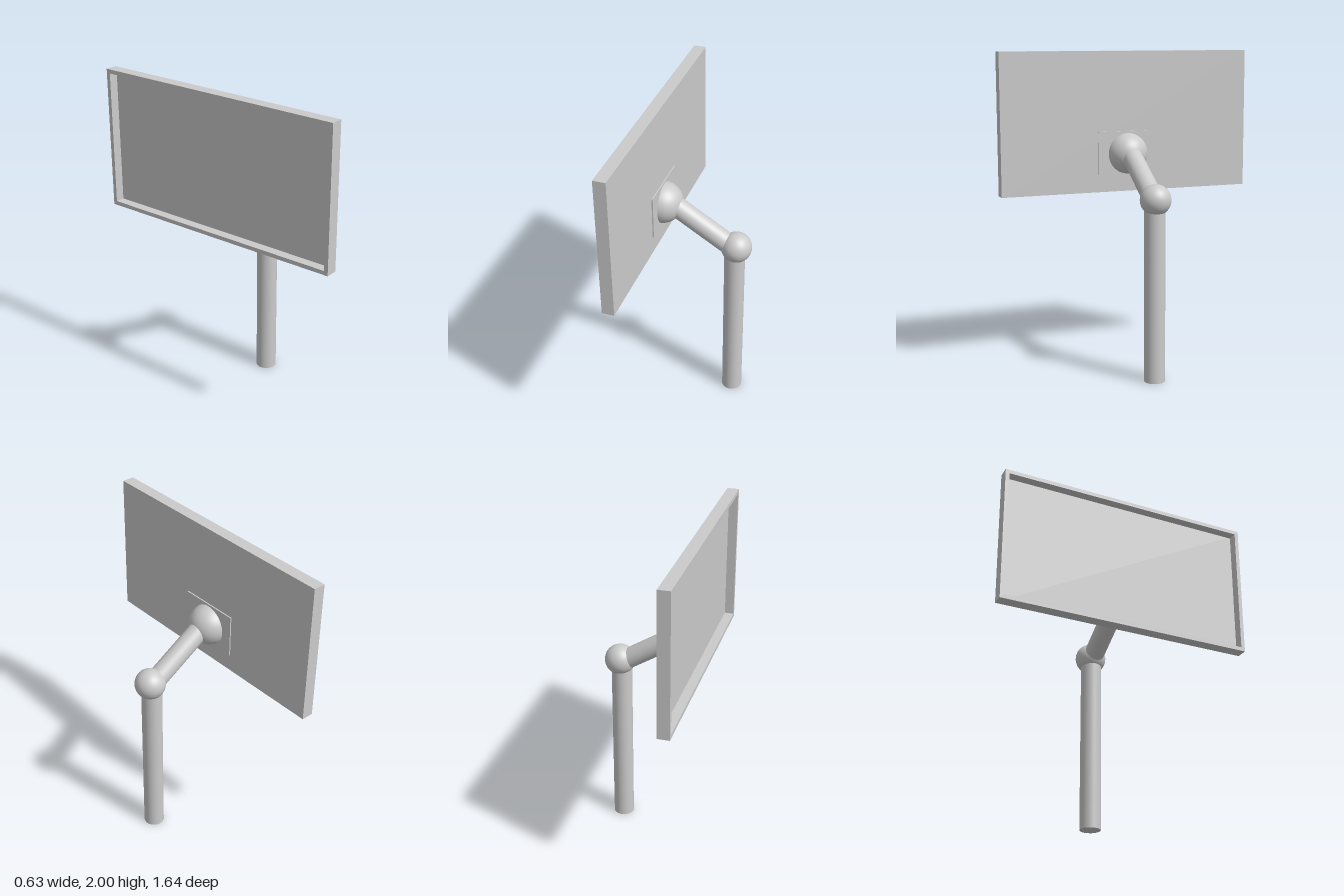
import * as THREE from 'three';

const material = new THREE.MeshStandardMaterial({ color: 0xcccccc });

export function createModel() {
  const model = new THREE.Group();
  const add = (name, geometry, x, y, z = 0) => {
    const mesh = new THREE.Mesh(geometry, material);
    mesh.name = name;
    mesh.position.set(x, y, z);
    model.add(mesh);
    return mesh;
  };

  // Panel: a back sheet with a shallow rim around the recessed face on -x
  const back = -0.243, floor = -0.26, face = -0.318;
  const width = 1.64, height = 0.88, midY = 1.56, rim = 0.025;
  add('panelBack', new THREE.BoxGeometry(back - floor, height, width), (back + floor) / 2, midY);

  const rectangle = (target, w, h) => target
    .moveTo(-w / 2, -h / 2).lineTo(w / 2, -h / 2)
    .lineTo(w / 2, h / 2).lineTo(-w / 2, h / 2).closePath();
  const outline = rectangle(new THREE.Shape(), width, height);
  outline.holes.push(rectangle(new THREE.Path(), width - 2 * rim, height - 2 * rim));
  const frame = new THREE.ExtrudeGeometry(outline, { depth: floor - face, bevelEnabled: false });
  frame.rotateY(Math.PI / 2);
  add('panelRim', frame, face, midY);

  // Mounting plate and half-ball socket
  add('mountPlate', new THREE.BoxGeometry(0.01, 0.27, 0.39), -0.24, 1.366);
  const dome = new THREE.SphereGeometry(0.129, 40, 20, 0, Math.PI * 2, 0, Math.PI / 2);
  dome.rotateZ(-Math.PI / 2);
  add('mountDome', dome, -0.248, 1.36);

  // Sloping arm between the dome and the elbow
  const start = new THREE.Vector3(-0.2, 1.37, 0);
  const end = new THREE.Vector3(0.2, 1.122, 0);
  const direction = end.clone().sub(start);
  const arm = add('arm', new THREE.CylinderGeometry(0.063, 0.063, direction.length(), 32), 0, 0);
  arm.position.copy(start).lerp(end, 0.5);
  arm.quaternion.setFromUnitVectors(new THREE.Vector3(0, 1, 0), direction.normalize());

  // Elbow ball and upright pole
  add('elbowBall', new THREE.SphereGeometry(0.095, 40, 24), 0.222, 1.128);
  add('pole', new THREE.CylinderGeometry(0.064, 0.064, 1.1, 32), 0.212, 0.55);

  return model;
}
